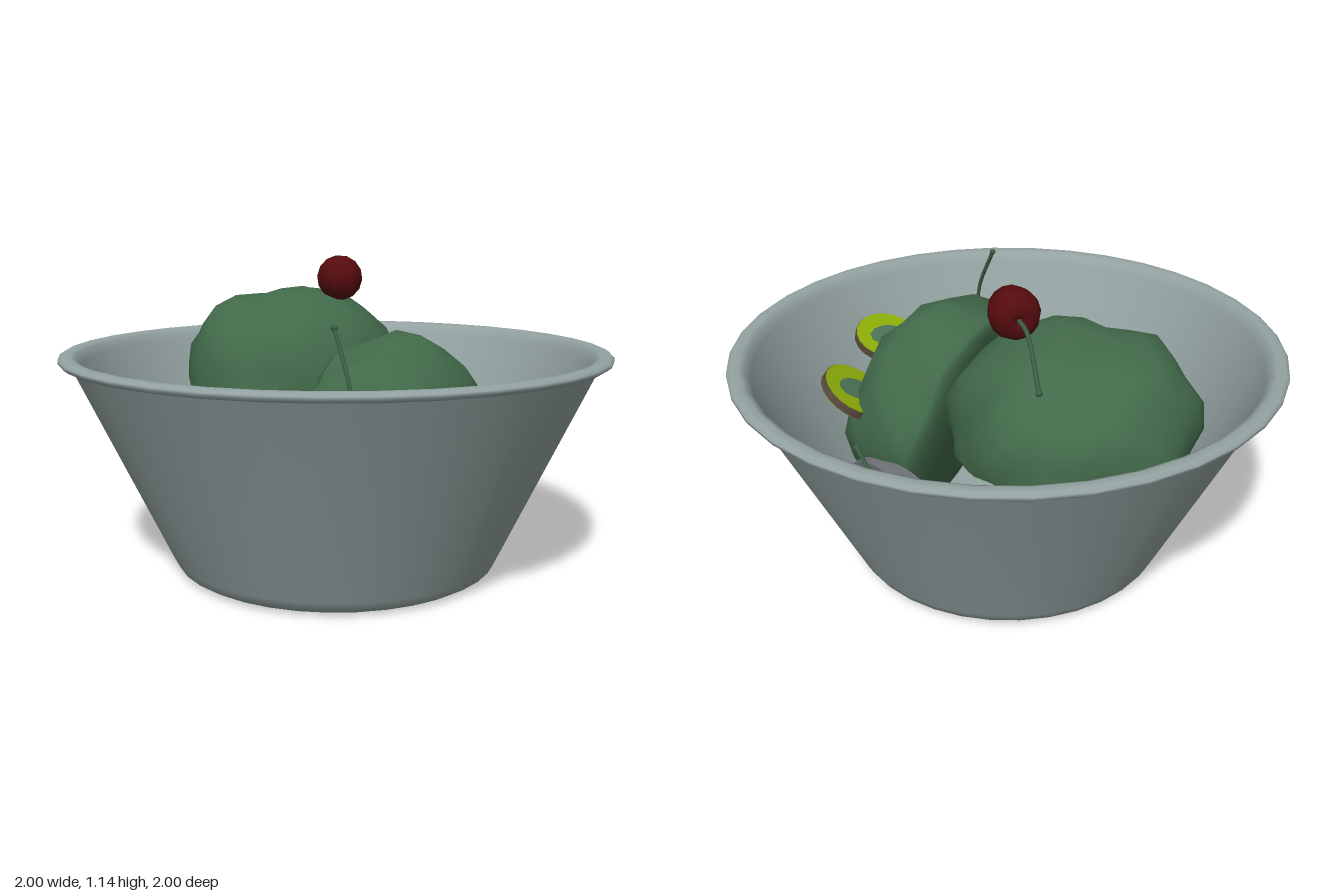
import * as THREE from 'three';
import { mergeVertices } from 'three/addons/utils/BufferGeometryUtils.js';

const V = (x, y, z) => new THREE.Vector3(x, y, z);
const mat = (name, color, side = THREE.FrontSide) => {
  const m = new THREE.MeshStandardMaterial({ color, side });
  m.name = name;
  return m;
};

export function createModel() {
  const root = new THREE.Group();
  root.name = 'saladBowl';
  const bowlGrey = mat('bowl grey', 0x95a3a3);
  const leafGreen = mat('floret green', 0x426a4a, THREE.DoubleSide);
  const stalkCream = mat('stalk cream', 0xd3d8a2);
  const cherryRed = mat('cherry red', 0x560c0e);
  const stemGreen = mat('stem green', 0x3d6046);
  const kiwiLime = mat('kiwi lime', 0x8aac08);
  const kiwiCore = mat('kiwi core', 0x4a7356);
  const skinBrown = mat('kiwi skin', 0x5a4c3c);
  const sliceGrey = mat('slice grey', 0x6c6f73);

  const add = (parent, name, geo, material) => {
    const m = new THREE.Mesh(geo, material);
    m.name = name;
    parent.add(m);
    return m;
  };
  const group = (name, pos, up) => {
    const g = new THREE.Group();
    g.name = name;
    g.position.copy(pos);
    if (up) g.quaternion.setFromUnitVectors(V(0, 1, 0), up.clone().normalize());
    root.add(g);
    return g;
  };
  // tapered rod between two points
  const rod = (parent, name, a, b, ra, rb, material) => {
    const m = add(parent, name, new THREE.CylinderGeometry(rb, ra, a.distanceTo(b), 8), material);
    m.position.copy(a).lerp(b, 0.5);
    m.quaternion.setFromUnitVectors(V(0, 1, 0), b.clone().sub(a).normalize());
  };

  // Bowl: wall, rolled rim and hollow inside
  const profile = [
    [0, 0], [0.53, 0], [0.57, 0.006], [0.597, 0.022], [0.615, 0.055],
    [0.955, 0.782], [0.985, 0.785], [0.998, 0.795], [0.998, 0.806], [0.985, 0.815],
    [0.955, 0.815], [0.935, 0.805], [0.92, 0.775], [0.605, 0.1], [0.57, 0.05], [0.52, 0.035], [0, 0.035],
  ].map(([x, y]) => new THREE.Vector2(x, y));
  add(root, 'bowl', new THREE.LatheGeometry(profile, 36), bowlGrey);

  // Lumpy floret cap, flat underneath
  const capGeometry = (radius, height, seed) => {
    let g = new THREE.IcosahedronGeometry(1, 4);
    g.deleteAttribute('normal');
    g.deleteAttribute('uv');
    g = mergeVertices(g, 1e-4);
    const p = g.attributes.position;
    for (let i = 0; i < p.count; i++) {
      const d = V(0, 0, 0).fromBufferAttribute(p, i);
      const rho = Math.hypot(d.x, d.z);
      const box = 1 / Math.pow(rho ** 2.6 + Math.abs(d.y) ** 2.6, 1 / 2.6);
      const lump = 0.045 * Math.sin(4.3 * d.x + seed) * Math.cos(4.7 * d.z - seed)
        + 0.055 * Math.sin(7 * d.z + 5 * d.y + seed * 2) * Math.cos(6 * d.x + seed);
      const k = box * (1 + lump);
      p.setXYZ(i, d.x * k * radius, d.y * k * (d.y > 0 ? height : height * 0.18), d.z * k * radius);
    }
    g.computeVertexNormals();
    return g;
  };
  const backFloret = group('backFloret', V(0.015, 0.64, -0.41));
  add(backFloret, 'floretCap', capGeometry(0.42, 0.36, 0.8), leafGreen);
  const frontFloret = group('frontFloret', V(0.06, 0.44, 0.25), V(0.49, 0.26, 0.82));
  add(frontFloret, 'floretCap', capGeometry(0.425, 0.36, 2.4), leafGreen);

  // Stalks with branches fanning out under each cap
  const stalk = (name, base, fork, tips) => {
    const g = group(name, V(0, 0, 0));
    rod(g, 'stalkTrunk', base, fork, 0.1, 0.095, stalkCream);
    tips.forEach((t) => {
      rod(g, 'stalkBranch', fork, t, 0.065, 0.05, stalkCream);
      const leaf = add(g, 'stalkLeaf', new THREE.ConeGeometry(0.03, 0.13, 4), leafGreen);
      leaf.position.copy(fork).lerp(t, 0.6).add(V(-0.05, 0.01, -0.01));
      leaf.rotation.set(0.5, t.x * 9, 0.8);
    });
  };
  stalk('frontStalk', V(-0.2, 0.1, -0.1), V(-0.17, 0.36, 0.04), [
    V(-0.21, 0.62, 0.25), V(-0.13, 0.66, 0.22), V(-0.05, 0.66, 0.16), V(0.05, 0.6, 0.1),
    V(0.14, 0.48, 0.08), V(-0.25, 0.46, 0.28),
  ]);
  stalk('backStalk', V(0.05, 0.1, -0.25), V(0.02, 0.35, -0.36), [
    V(-0.2, 0.62, -0.3), V(0.2, 0.62, -0.3), V(0.15, 0.62, -0.58), V(-0.15, 0.62, -0.58), V(-0.03, 0.62, -0.2),
  ]);

  // Cherries with curved stems
  const cherryProfile = [[0, -0.088], [0.042, -0.082], [0.072, -0.052], [0.087, 0], [0.088, 0.03],
    [0.072, 0.068], [0.042, 0.086], [0.018, 0.08], [0, 0.068]].map(([x, y]) => new THREE.Vector2(x, y));
  const cherry = (name, pos, bend, tip) => {
    const body = group(name, pos, bend.clone().sub(pos));
    add(body, 'cherryFruit', new THREE.LatheGeometry(cherryProfile, 14), cherryRed);
    const start = pos.clone().add(bend.clone().sub(pos).setLength(0.06));
    const curve = new THREE.CatmullRomCurve3([start, bend, tip]);
    add(root, 'cherryStem', new THREE.TubeGeometry(curve, 10, 0.008, 6), stemGreen);
    const knob = add(root, 'stemTip', new THREE.SphereGeometry(0.012, 8, 6), stemGreen);
    knob.position.copy(tip);
  };
  cherry('topCherry', V(0.14, 1.055, -0.235), V(0.19, 1.045, -0.39), V(0.275, 0.94, -0.575));
  cherry('frontCherry', V(-0.26, 0.58, 0.63), V(-0.26, 0.77, 0.6), V(-0.265, 0.95, 0.505));
  cherry('rightCherry', V(-0.5, 0.4, -0.31), V(-0.45, 0.48, -0.19), V(-0.475, 0.54, -0.06));
  cherry('leftCherry', V(0.55, 0.4, -0.27), V(0.6, 0.46, -0.1), V(0.575, 0.5, 0.12));

  // Kiwi slices: skin disc, lime faces and inset cores
  const kiwi = (pos, normal) => {
    const g = group('kiwiSlice', pos, normal);
    add(g, 'kiwiSkin', new THREE.CylinderGeometry(0.132, 0.132, 0.032, 20), skinBrown);
    add(g, 'kiwiFlesh', new THREE.CylinderGeometry(0.129, 0.129, 0.038, 20), kiwiLime);
    const core = add(g, 'kiwiHeart', new THREE.CylinderGeometry(0.076, 0.076, 0.042, 11), kiwiCore);
    core.scale.z = 0.72;
  };
  kiwi(V(0.15, 0.61, 0.67), V(-0.05, 0.92, -0.36));
  kiwi(V(0.44, 0.56, 0.405), V(-0.42, 0.8, -0.38));
  kiwi(V(-0.36, 0.37, -0.1), V(-0.5, 0.8, -0.2));
  kiwi(V(-0.28, 0.28, 0.35), V(-0.4, 0.85, 0.1));

  // Half-round fruit slices with a thin red skin along the straight edge
  const halfSlice = (pos, along, rise, r) => {
    const g = group('fruitSlice', pos);
    const w = along.clone().normalize();
    const n = w.clone().cross(rise).normalize();
    g.quaternion.setFromRotationMatrix(new THREE.Matrix4().makeBasis(w, n.clone().cross(w), n));
    const flesh = new THREE.Shape();
    flesh.absarc(0, 0, r, 0, Math.PI, false);
    const slab = { depth: 0.035, bevelEnabled: false, curveSegments: 14 };
    add(g, 'sliceFlesh', new THREE.ExtrudeGeometry(flesh, slab), sliceGrey);
    const skin = add(g, 'sliceSkin', new THREE.BoxGeometry(r * 2, 0.009, 0.035), cherryRed);
    skin.position.set(0, -0.0045, 0.0175);
  };
  halfSlice(V(-0.45, 0.34, 0.15), V(0.2, -0.38, 0.6), V(-0.34, 0.94, 0.1), 0.33);
  halfSlice(V(0.49, 0.23, 0.0), V(0.34, 0, 0.94), V(0.08, 1, 0), 0.22);
  halfSlice(V(0.53, 0.25, 0.02), V(0.22, 0, 0.95), V(0.12, 1, 0), 0.22);

  return root;
}
